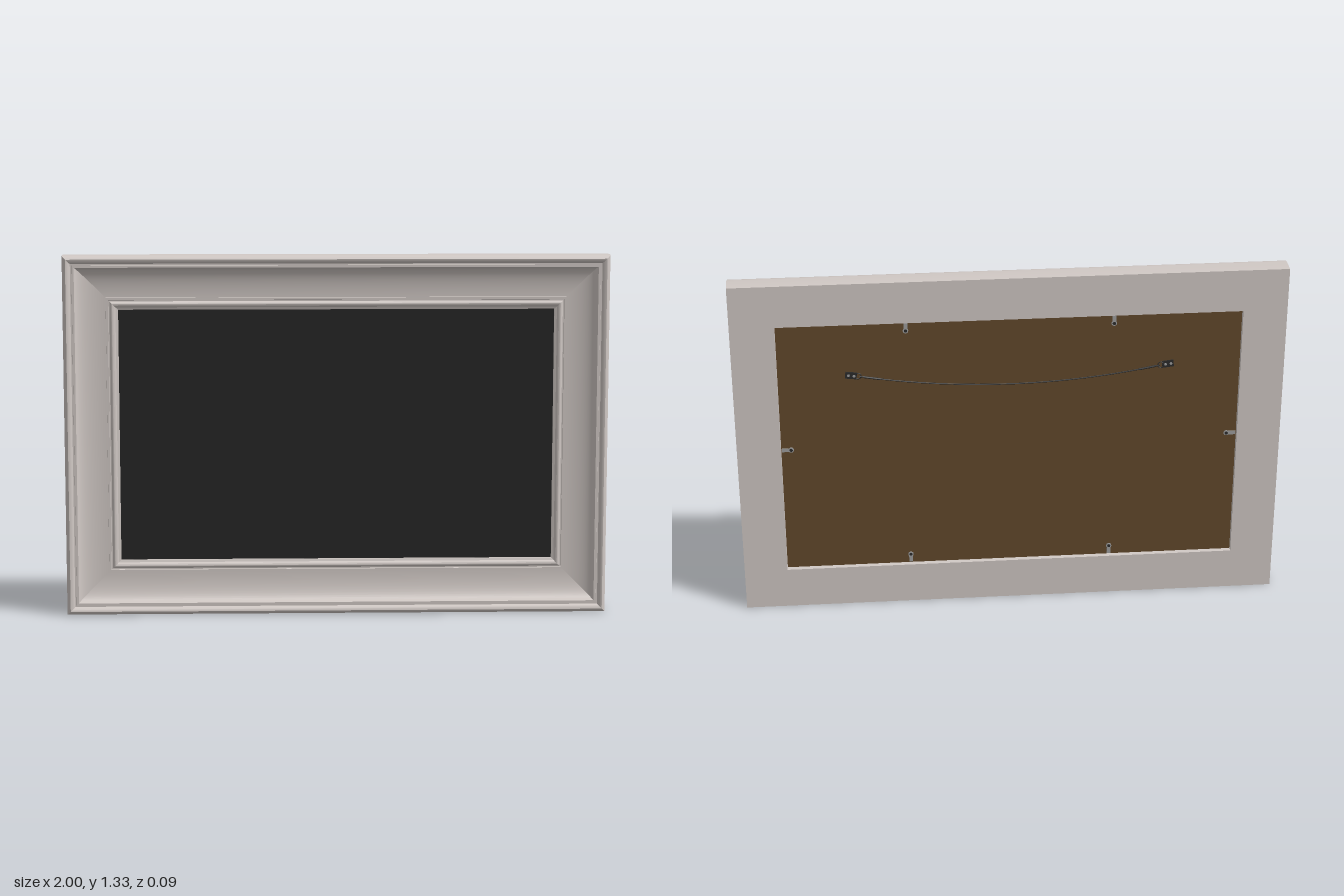
import * as THREE from 'three';
import { toCreasedNormals } from 'three/addons/utils/BufferGeometryUtils.js';

const CY = 0.665;          // centre height
const BACK = -0.028;       // rear surface of the backing board

const mat = (name, color) => {
  const m = new THREE.MeshStandardMaterial({ color });
  m.name = name;
  return m;
};

// Moulding section as [inset from outer edge, z], from outer back round to inner back
function mouldingProfile() {
  const p = [
    [0, -0.045], [0, 0.022], [0.002, 0.033], [0.007, 0.041], [0.014, 0.045],
    [0.022, 0.0435], [0.028, 0.038], [0.03, 0.03], [0.035, 0.03], [0.036, 0.035],
    [0.044, 0.035], [0.046, 0.031],
  ];
  // concave sweep
  for (let i = 1; i <= 12; i++) {
    const t = (i / 12) * Math.PI / 2;
    p.push([0.046 + 0.109 * (1 - Math.cos(t)), 0.031 - 0.035 * Math.sin(t)]);
  }
  // inner fillet, bead and rebate
  p.push([0.156, 0.004], [0.164, 0.004], [0.165, -0.001], [0.169, -0.001]);
  for (let i = 1; i <= 8; i++) {
    const t = (i / 8) * Math.PI;
    p.push([0.18 - 0.011 * Math.cos(t), -0.001 + 0.01 * Math.sin(t)]);
  }
  p.push([0.2, -0.004], [0.2, -0.012], [0.16, -0.012], [0.16, -0.045], [0, -0.045]);
  return p;
}

// One mitred rail between two neighbouring corners
function railGeometry(profile, [ax, ay], [bx, by]) {
  const at = (sx, sy, [d, z]) => [sx * (1 - d), CY + sy * (CY - d), z];
  const pos = [];
  for (let j = 0; j < profile.length - 1; j++) {
    const a0 = at(ax, ay, profile[j]), a1 = at(ax, ay, profile[j + 1]);
    const b0 = at(bx, by, profile[j]), b1 = at(bx, by, profile[j + 1]);
    pos.push(...a0, ...b0, ...b1, ...a0, ...b1, ...a1);
  }
  const g = new THREE.BufferGeometry();
  g.setAttribute('position', new THREE.Float32BufferAttribute(pos, 3));
  return toCreasedNormals(g, 0.6);
}

export function createModel() {
  const model = new THREE.Group();
  model.name = 'pictureFrame';
  const painted = mat('warmGreyPaint', 0xd2cac6);
  const black = mat('blackPicture', 0x242424);
  const brown = mat('brownBoard', 0x634a2c);
  const metal = mat('greyMetal', 0xa0a0a0);
  const dark = mat('darkMetal', 0x2c2c2c);

  const add = (parent, name, geometry, material, x = 0, y = 0, z = 0) => {
    const m = new THREE.Mesh(geometry, material);
    m.name = name;
    m.position.set(x, y, z);
    parent.add(m);
    return m;
  };

  // Four mitred rails
  const profile = mouldingProfile();
  const corners = [[-1, -1], [1, -1], [1, 1], [-1, 1]];
  ['bottomRail', 'leftRail', 'topRail', 'rightRail'].forEach((name, i) =>
    add(model, name, railGeometry(profile, corners[i], corners[(i + 1) % 4]), painted));

  // Picture panel and backing board
  add(model, 'picturePanel', new THREE.BoxGeometry(1.67, 1.0, 0.006), black, 0, CY, -0.0155);
  add(model, 'backingBoard', new THREE.BoxGeometry(1.678, 1.008, 0.009), brown, 0, CY, BACK + 0.0045);

  // Retaining clips: a tab with a screw, pointing inward from the rebate
  const clip = (x, y, angle) => {
    const g = new THREE.Group();
    g.name = 'retainingClip';
    add(g, 'clipTab', new THREE.BoxGeometry(0.014, 0.038, 0.003), metal, 0, 0, -0.0015);
    const end = add(g, 'clipEnd', new THREE.CylinderGeometry(0.01, 0.01, 0.003, 16), metal, 0, -0.014, -0.0017);
    const screw = add(g, 'clipScrew', new THREE.CylinderGeometry(0.006, 0.006, 0.003, 12), dark, 0, -0.014, -0.0035);
    end.rotation.x = screw.rotation.x = Math.PI / 2;
    g.position.set(x, y, BACK);
    g.rotation.z = angle;
    model.add(g);
  };
  for (const s of [1, -1]) {
    clip(0.375 * s, CY + 0.482, 0);
    clip(0.375 * s, CY - 0.482, Math.PI);
    clip(0.817 * s, CY, -s * Math.PI / 2);
  }

  // Hangers: plate, two screws and a ring holding the wire
  for (const s of [1, -1]) {
    const g = new THREE.Group();
    g.name = s > 0 ? 'leftHanger' : 'rightHanger';
    add(g, 'hangerPlate', new THREE.BoxGeometry(0.042, 0.026, 0.004), dark, 0, 0, -0.002);
    for (const dx of [-0.011, 0.009]) {
      add(g, 'hangerScrew', new THREE.CylinderGeometry(0.005, 0.005, 0.003, 12), metal, dx, 0, -0.0045)
        .rotation.x = Math.PI / 2;
    }
    add(g, 'hangerRing', new THREE.TorusGeometry(0.011, 0.002, 8, 20), dark, -s * 0.026, 0, -0.003);
    g.position.set(s * 0.575, 0.962, BACK);
    g.rotation.z = s * 0.12;
    model.add(g);
  }

  // Sagging hanging wire with wrapped ends
  const wirePoint = (x) => new THREE.Vector3(x, 0.905 + 0.053 * (x / 0.545) ** 2, BACK - 0.004);
  const wirePath = (x0, x1, n) => new THREE.CatmullRomCurve3(
    Array.from({ length: n + 1 }, (_, i) => wirePoint(x0 + (x1 - x0) * i / n)));
  add(model, 'hangingWire', new THREE.TubeGeometry(wirePath(-0.545, 0.545, 10), 48, 0.0025, 8), dark);
  for (const s of [1, -1]) {
    add(model, 'wireWrap', new THREE.TubeGeometry(wirePath(s * 0.47, s * 0.53, 3), 8, 0.004, 8), dark);
  }
  return model;
}
